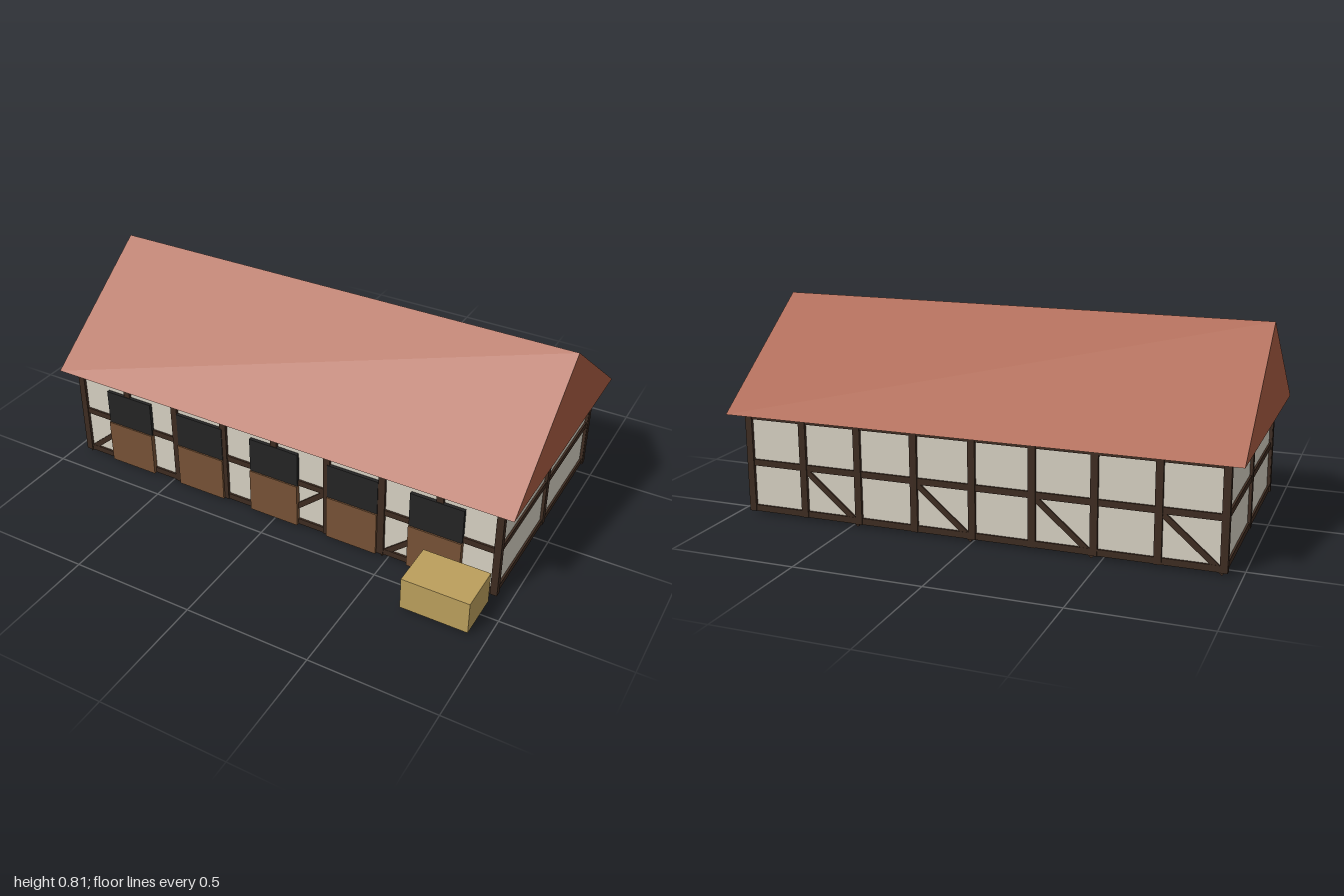
import * as THREE from 'three';

const mat = (name, color) => {
  const m = new THREE.MeshStandardMaterial({ color });
  m.name = name;
  return m;
};

export function createModel() {
  const roofTile = mat('roof tile', 0xa85c42);
  const plaster = mat('plaster', 0xd6d0c2);
  const timber = mat('dark timber', 0x3d2b20);
  const doorWood = mat('door wood', 0x765236);
  const opening = mat('dark opening', 0x242424);
  const straw = mat('straw', 0xbb9f5c);

  const model = new THREE.Group();
  model.name = 'stable';

  // Box given by its limits on each axis
  const box = (name, material, [x0, x1], [y0, y1], [z0, z1], parent = model) => {
    const mesh = new THREE.Mesh(new THREE.BoxGeometry(x1 - x0, y1 - y0, z1 - z0), material);
    mesh.position.set((x0 + x1) / 2, (y0 + y1) / 2, (z0 + z1) / 2);
    mesh.name = name;
    parent.add(mesh);
    return mesh;
  };
  const around = (c, width) => [c - width / 2, c + width / 2];

  const halfX = 0.935, backZ = -0.555, frontZ = 0.383, midZ = -0.086;
  const eaveY = 0.412;

  box('walls', plaster, [-halfX, halfX], [0.01, eaveY], [backZ, frontZ]);

  // Timber frame: rails run right round the walls
  const frame = new THREE.Group();
  frame.name = 'timberFrame';
  model.add(frame);
  for (const [name, y] of [['sill', 0.0245], ['middleRail', 0.212], ['topRail', 0.399]]) {
    box(name, timber, [-0.943, 0.943], around(y, 0.025), [-0.563, 0.391], frame);
  }

  // Posts and diagonal braces of both long walls
  const bays = 8, step = (2 * halfX) / bays;
  for (const z of [backZ, frontZ]) {
    for (let i = 0; i <= bays; i++) {
      const x = -halfX + i * step;
      box('post', timber, around(x, 0.028), [0.012, eaveY], around(z, 0.024), frame);
      if (i % 2 === 0 && i < bays) {
        const rise = 0.2;
        const brace = box('brace', timber, around(x + step / 2, Math.hypot(step, rise)),
          around(0.109, 0.022), around(z, 0.014), frame);
        brace.rotation.z = Math.atan2(rise, step);
      }
    }
  }

  // Gable posts, with the corners made square
  for (const side of [-1, 1]) {
    for (const z of [backZ + 0.002, midZ, frontZ - 0.002]) {
      box('gablePost', timber, around(side * halfX, 0.024), [0.012, eaveY], around(z, 0.028), frame);
    }
  }

  // Half doors below dark openings
  for (let i = -2; i <= 2; i++) {
    const x = i * 0.346;
    box('stallDoor', doorWood, around(x, 0.215), [0.012, 0.2], [0.384, 0.404]);
    box('stallOpening', opening, around(x, 0.215), [0.2, 0.348], [0.384, 0.398]);
  }

  // Gable roof: a closed triangle extruded along x
  const gable = new THREE.Shape([
    new THREE.Vector2(-0.444, eaveY),
    new THREE.Vector2(0.619, eaveY),
    new THREE.Vector2(0.0875, 0.81),
  ]);
  const roofGeometry = new THREE.ExtrudeGeometry(gable, { depth: 2, bevelEnabled: false });
  roofGeometry.translate(0, 0, -1).rotateY(Math.PI / 2);
  const roof = new THREE.Mesh(roofGeometry, roofTile);
  roof.name = 'roof';
  model.add(roof);

  box('strawBale', straw, [0.665, 0.932], [0.012, 0.145], [0.434, 0.62]);

  return model;
}
